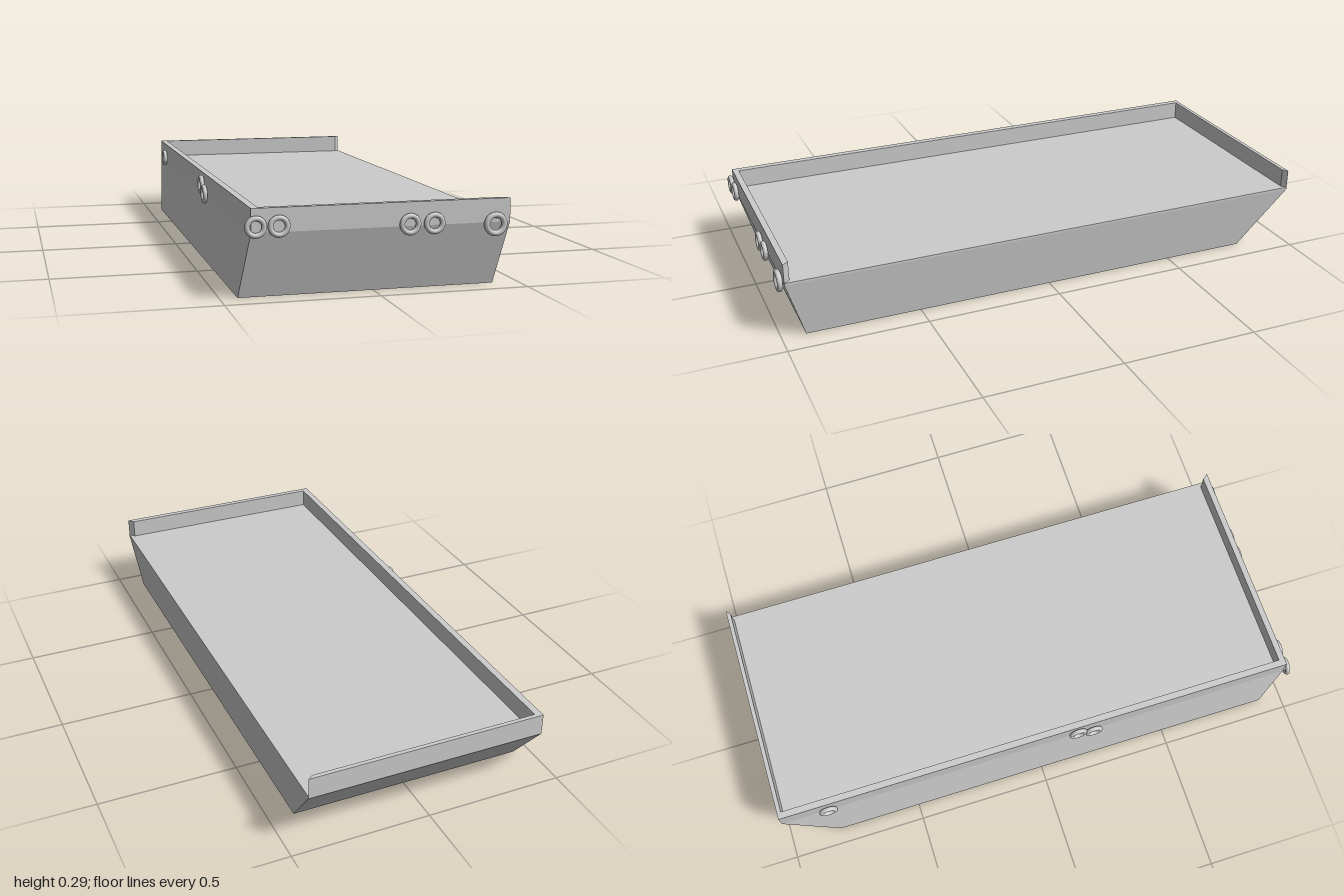
import * as THREE from 'three';

export function createModel() {
  const model = new THREE.Group();
  const grey = new THREE.MeshStandardMaterial({ color: 0xcccccc });
  const add = (name, geometry, parent = model) => {
    const mesh = new THREE.Mesh(geometry, grey);
    mesh.name = name;
    parent.add(mesh);
    return mesh;
  };

  // Hull: a box whose top and bottom rectangles are placed separately
  const hullGeo = new THREE.BoxGeometry(1, 1, 1);
  const pos = hullGeo.attributes.position;
  const bottom = { x: [-0.443, 0.412], y: 0, z: [-0.811, 0.915] };
  const top = { x: [-0.413, 0.44], y: 0.215, z: [-1, 0.98] };
  for (let i = 0; i < pos.count; i++) {
    const level = pos.getY(i) > 0 ? top : bottom;
    pos.setXYZ(i, level.x[pos.getX(i) > 0 ? 1 : 0], level.y, level.z[pos.getZ(i) > 0 ? 1 : 0]);
  }
  hullGeo.computeVertexNormals();
  add('hull', hullGeo);

  // Horizontal outline (x, z) raised from y0 to y1
  const slab = (points, y0, y1) => {
    const shape = new THREE.Shape(points.map(([x, z]) => new THREE.Vector2(x, -z)));
    return new THREE.ExtrudeGeometry(shape, { depth: y1 - y0, bevelEnabled: false })
      .rotateX(-Math.PI / 2).translate(0, y0, 0);
  };

  // Deck floor, flush with the open side
  add('deck', slab([[-0.4, 0.965], [0.44, 0.979], [0.44, -0.999], [-0.4, -0.99]], 0.215, 0.223));

  // Rim around three sides, tapering to points at the open side
  add('rim', slab([
    [-0.413, 0.98], [0.44, 0.98], [0.422, 0.958], [-0.388, 0.958],
    [-0.388, -0.985], [0.422, -0.985], [0.44, -1], [-0.413, -1],
  ], 0.215, 0.292));

  // Tyre fenders
  const fenders = new THREE.Group();
  fenders.name = 'fenders';
  model.add(fenders);
  const ring = (radius) => new THREE.TorusGeometry(radius * 0.77, radius * 0.25, 12, 32);

  // Front fenders: x, y, outer radius
  for (const [x, y, r] of [
    [-0.4, 0.235, 0.035], [-0.327, 0.235, 0.035], [0.097, 0.222, 0.035],
    [0.178, 0.222, 0.035], [0.386, 0.21, 0.039],
  ]) add('frontFender', ring(r), fenders).position.set(x, y, 0.99);

  // Side fenders: y, z
  for (const [y, z] of [[0.25, 0.145], [0.222, 0.208], [0.235, -0.823]]) {
    const fender = add('sideFender', ring(0.034), fenders);
    fender.rotation.y = Math.PI / 2;
    fender.position.set(-0.423, y, z);
  }

  return model;
}
